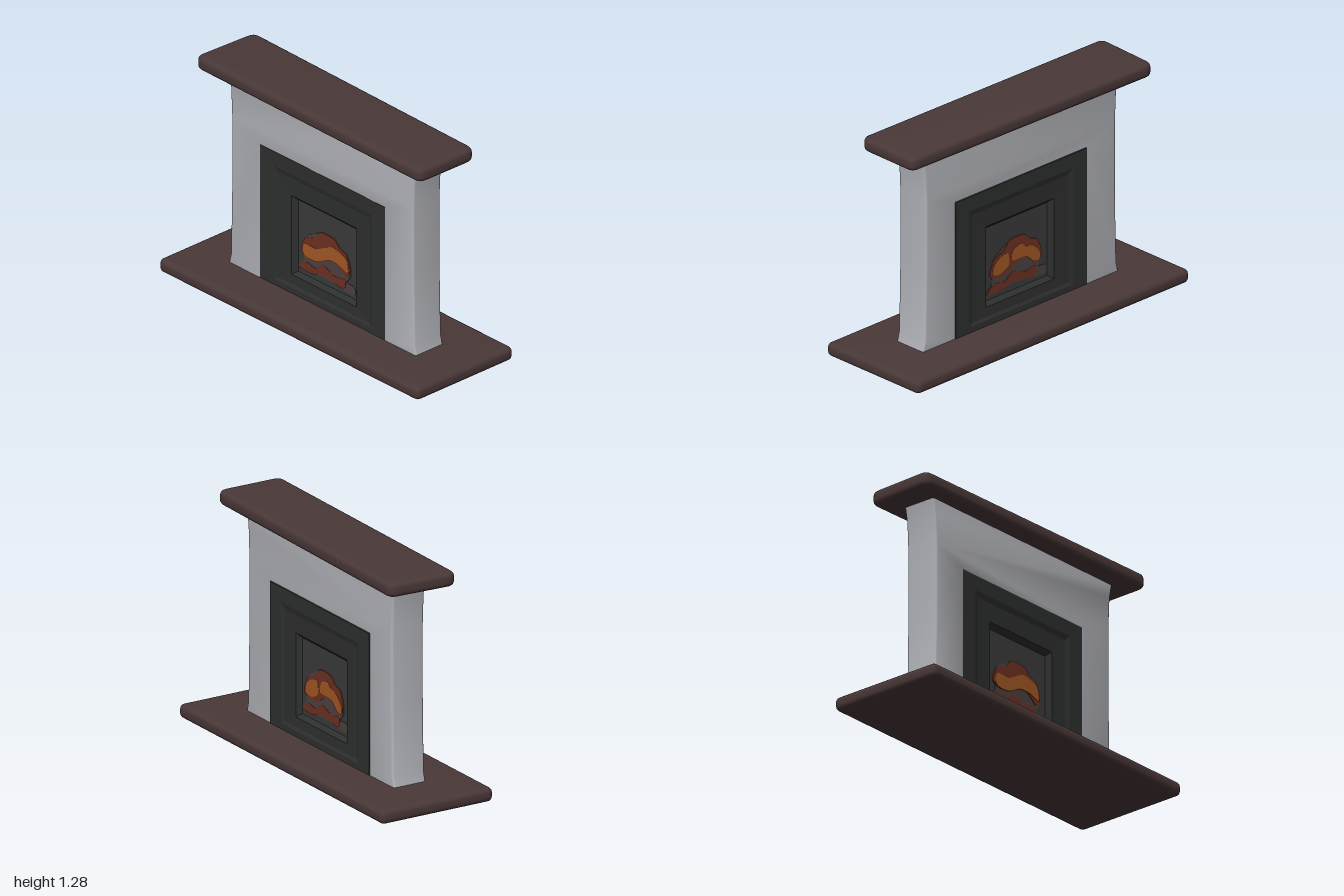
import * as THREE from 'three';
import { toCreasedNormals } from 'three/addons/utils/BufferGeometryUtils.js';

const material = (name, color) => {
  const m = new THREE.MeshStandardMaterial({ color });
  m.name = name;
  return m;
};

const add = (parent, name, geometry, mat) => {
  const mesh = new THREE.Mesh(geometry, mat);
  mesh.name = name;
  parent.add(mesh);
  return mesh;
};

// Polygon with every corner rounded by a quadratic curve
function roundedShape(corners, radius) {
  const pts = corners.map(([x, y]) => new THREE.Vector2(x, y));
  const shape = new THREE.Shape();
  pts.forEach((p, i) => {
    const prev = pts[(i + pts.length - 1) % pts.length];
    const next = pts[(i + 1) % pts.length];
    const a = p.clone().add(prev.clone().sub(p).setLength(radius));
    const b = p.clone().add(next.clone().sub(p).setLength(radius));
    if (i === 0) shape.moveTo(a.x, a.y);
    else shape.lineTo(a.x, a.y);
    shape.quadraticCurveTo(p.x, p.y, b.x, b.y);
  });
  shape.closePath();
  return shape;
}

// Extrusion whose soft bevel stays inside the outline; spans z = 0..depth
function softExtrude(shape, depth, bevel) {
  const geo = new THREE.ExtrudeGeometry(shape, {
    depth: depth - 2 * bevel, bevelEnabled: true, bevelSize: bevel,
    bevelThickness: bevel, bevelOffset: -bevel, bevelSegments: 4, curveSegments: 6,
  });
  geo.translate(0, 0, bevel);
  return toCreasedNormals(geo, 0.7);
}

// Horizontal slab; corners are given as [x, -z]
function slab(corners, radius, y, height, bevel) {
  const geo = softExtrude(roundedShape(corners, radius), height, bevel);
  return geo.rotateX(-Math.PI / 2).translate(0, y, 0);
}

// Stepped panel through nested rectangles [left, right, bottom, top, z]
function steppedPanel(loops) {
  const pos = [];
  const rect = ([l, r, b, t, z]) => [[l, b, z], [r, b, z], [r, t, z], [l, t, z]];
  const quad = (a, b, c, d) => pos.push(...a, ...b, ...c, ...a, ...c, ...d);
  for (let i = 0; i < loops.length - 1; i++) {
    const o = rect(loops[i]), n = rect(loops[i + 1]);
    for (let k = 0; k < 4; k++) {
      const j = (k + 1) % 4;
      quad(o[k], o[j], n[j], n[k]);
    }
  }
  const geo = new THREE.BufferGeometry();
  geo.setAttribute('position', new THREE.Float32BufferAttribute(pos, 3));
  geo.computeVertexNormals();
  return geo;
}

// Thin irregular plate with a smooth closed outline
function blob(points, z, thickness) {
  const curve = new THREE.CatmullRomCurve3(
    points.map(([x, y]) => new THREE.Vector3(x, y, 0)), true, 'catmullrom', 0.4);
  const outline = curve.getPoints(points.length * 4).slice(0, -1)
    .map((p) => new THREE.Vector2(p.x, p.y));
  const geo = new THREE.ExtrudeGeometry(new THREE.Shape(outline), { depth: thickness, bevelEnabled: false });
  return geo.translate(0, 0, z);
}

export function createModel() {
  const wood = material('dark wood', 0x4a3838);
  const plaster = material('pale plaster', 0xb2b3b9);
  const iron = material('black iron', 0x2e2f2f);
  const soot = material('soot', 0x3b3b3b);
  const ash = material('ash', 0x4c4140);
  const ember = material('ember red', 0x6d3022);
  const flame = material('flame orange', 0xa35724);

  const model = new THREE.Group();
  model.name = 'fireplace';

  // Hearth slab and mantel shelf
  add(model, 'hearth', slab(
    [[-0.35, -1], [0.345, -1], [0.35, 1], [-0.35, 1]], 0.035, 0, 0.077, 0.026), wood);
  add(model, 'mantelShelf', slab(
    [[-0.215, -0.875], [0.18, -0.88], [0.215, 0.865], [-0.195, 0.885]], 0.055, 1.2, 0.08, 0.026), wood);

  // Chimney breast: outline flares at foot and top, with an opening for the firebox
  const half = [[0.475, 0.06], [0.725, 0.06], [0.708, 0.13], [0.7, 0.55], [0.7, 0.95], [0.708, 1.12], [0.725, 1.21]];
  const outline = new THREE.Shape([
    ...half, ...half.slice().reverse().map(([x, y]) => [-x, y]),
    [-0.475, 0.865], [0.475, 0.865],
  ].map(([x, y]) => new THREE.Vector2(x, y)));
  const breast = softExtrude(outline, 0.2, 0.014);
  breast.translate(0, 0, -0.1).rotateY(Math.PI / 2);
  add(model, 'chimneyBreast', breast, plaster).position.x = -0.003;

  // Burning logs, one set for each face: [name, material, outline]
  const logBed = ['logBed', ash, [[-0.22, 0.23], [-0.18, 0.29], [-0.19, 0.38], [-0.15, 0.44], [-0.06, 0.49],
    [0.05, 0.49], [0.13, 0.43], [0.18, 0.33], [0.15, 0.28], [0.21, 0.27], [0.2, 0.22], [0, 0.24]]];
  const lowerLog = ['lowerLog', ember, [[-0.22, 0.235], [-0.16, 0.28], [-0.09, 0.27], [-0.03, 0.31], [0.06, 0.28],
    [0.14, 0.29], [0.13, 0.23], [0.05, 0.24], [-0.04, 0.25], [-0.12, 0.225]]];
  const upperLog = ['upperLog', ember, [[-0.2, 0.34], [-0.17, 0.42], [-0.1, 0.45], [-0.05, 0.5], [0.05, 0.5],
    [0.1, 0.46], [0.15, 0.44], [0.18, 0.36], [0.15, 0.31], [0.08, 0.36], [0, 0.36], [-0.06, 0.32], [-0.15, 0.31]]];
  const fires = [
    [logBed, lowerLog, upperLog,
      ['leftFlame', flame, [[-0.18, 0.34], [-0.17, 0.39], [-0.12, 0.425], [-0.07, 0.43], [-0.06, 0.36], [-0.13, 0.325]]],
      ['rightFlame', flame, [[-0.04, 0.375], [-0.03, 0.435], [0.03, 0.455], [0.06, 0.43], [0.12, 0.41], [0.165, 0.36],
        [0.165, 0.315], [0.12, 0.32], [0.06, 0.37]]]],
    [logBed, lowerLog, upperLog,
      ['flameArc', flame, [[-0.18, 0.33], [-0.17, 0.39], [-0.08, 0.39], [-0.02, 0.42], [0.05, 0.45], [0.15, 0.42],
        [0.165, 0.34], [0.1, 0.36], [0.02, 0.36], [-0.06, 0.32], [-0.13, 0.31]]]],
  ];

  // Firebox on both faces, built facing +z and turned to each side
  fires.forEach((fire, i) => {
    const side = new THREE.Group();
    side.name = i === 0 ? 'leftFirebox' : 'rightFirebox';
    side.rotation.y = i === 0 ? Math.PI / 2 : -Math.PI / 2;
    model.add(side);

    add(side, 'fireSurround', steppedPanel([
      [-0.485, 0.485, 0.06, 0.872, 0.085],
      [-0.483, 0.483, 0.06, 0.87, 0.101],
      [-0.38, 0.38, 0.11, 0.785, 0.1],
      [-0.355, 0.355, 0.125, 0.755, 0.092],
      [-0.25, 0.25, 0.18, 0.65, 0.089],
      [-0.225, 0.225, 0.2, 0.625, 0.062],
    ]), iron);

    const back = new THREE.PlaneGeometry(0.45, 0.425);
    add(side, 'fireback', back, soot).position.set(0, 0.4125, 0.062);

    fire.forEach(([name, mat, points], k) => {
      add(side, name, blob(points, 0.061, 0.004 + Math.min(k, 3) * 0.0018), mat);
    });
  });

  return model;
}
